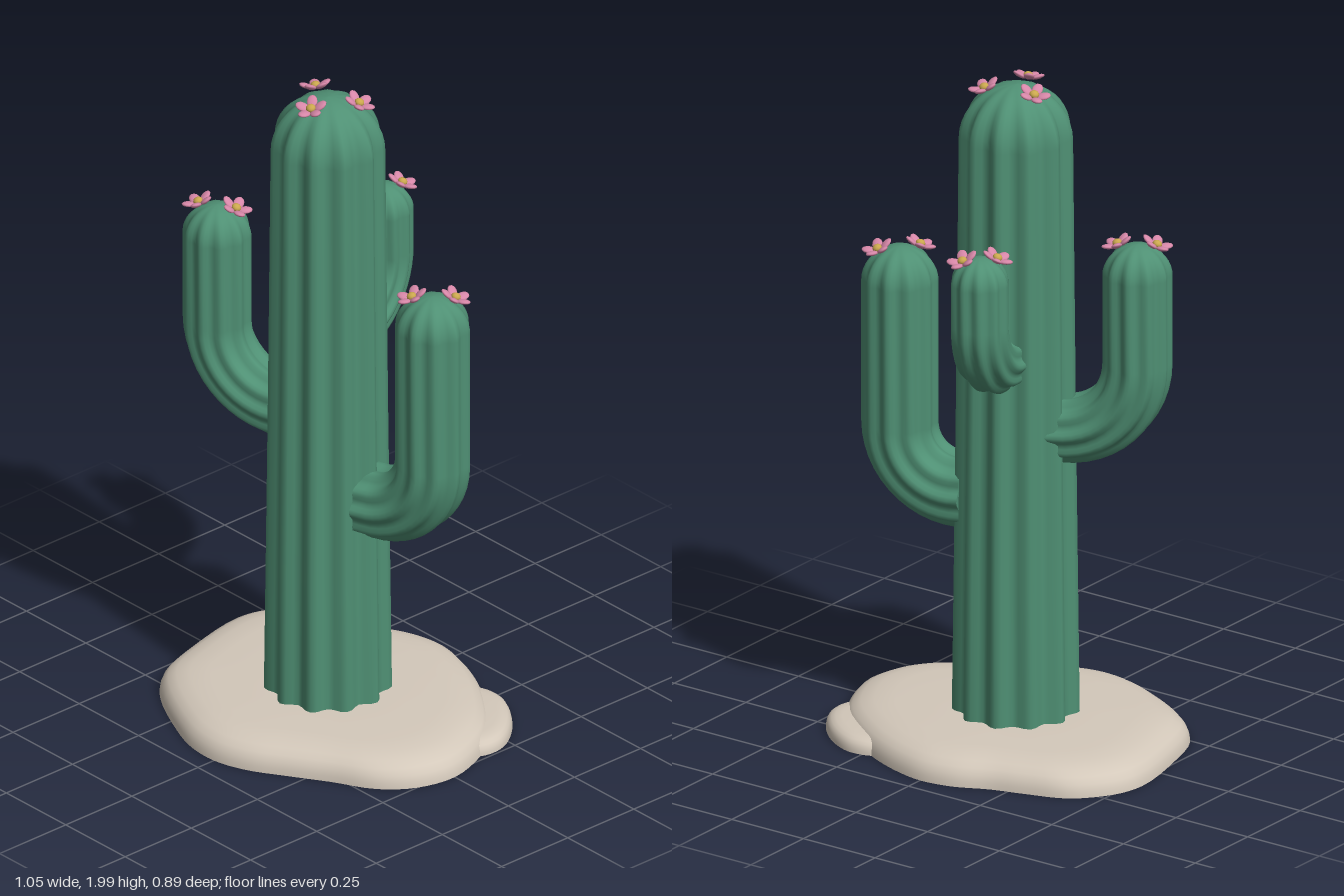
import * as THREE from 'three';

const material = (name, color, side = THREE.FrontSide) => {
  const m = new THREE.MeshStandardMaterial({ color, side });
  m.name = name;
  return m;
};

// Joins equal-sized closed rings of points into one smooth skin
function loft(rings) {
  const n = rings[0].length, pos = [], index = [];
  rings.forEach(ring => ring.forEach(p => pos.push(p.x, p.y, p.z)));
  for (let i = 0; i < rings.length - 1; i++) {
    for (let j = 0; j < n; j++) {
      const a = i * n + j, b = i * n + (j + 1) % n;
      index.push(a, b, a + n, b, b + n, a + n);
    }
  }
  const g = new THREE.BufferGeometry();
  g.setAttribute('position', new THREE.Float32BufferAttribute(pos, 3));
  g.setIndex(index);
  g.computeVertexNormals();
  return g;
}

const UP = new THREE.Vector3(0, 1, 0);

// Ribbed stem in the vertical plane through origin and dir.
// Stations: out, y, radius, lean (0 = heading outwards, PI/2 = heading up), rib depth
function ribbedStem(origin, dir, stations, ribs) {
  const side = new THREE.Vector3().crossVectors(dir, UP);
  const count = ribs * 6;
  return loft(stations.map(s => {
    const t = dir.clone().multiplyScalar(Math.cos(s.lean)).addScaledVector(UP, Math.sin(s.lean));
    const n = new THREE.Vector3().crossVectors(t, side);
    const c = origin.clone().addScaledVector(dir, s.out).addScaledVector(UP, s.y);
    return Array.from({ length: count }, (_, j) => {
      const a = j / count * Math.PI * 2;
      const r = s.r * (1 - s.depth * (0.5 - 0.5 * Math.cos(a * ribs)));
      return c.clone().addScaledVector(side, r * Math.cos(a)).addScaledVector(n, r * Math.sin(a));
    });
  }));
}

// Rounded end, with ribs fading out towards the tip
function addDome(stations, out, y, r, h, depth) {
  for (let i = 1; i <= 10; i++) {
    const a = i / 10 * Math.PI / 2;
    stations.push({ out, y: y + h * Math.sin(a), r: r * Math.cos(a), lean: Math.PI / 2, depth: depth * Math.cos(a) });
  }
}

// Flat-bottomed mound over a closed outline of [x, z] points
function mound(outline, height, cx = 0, cz = 0) {
  const curve = new THREE.CatmullRomCurve3(outline.map(([x, z]) => new THREE.Vector3(x, 0, z)), true);
  const pts = curve.getPoints(96).slice(0, 96);
  const profile = [[0, 0], [1, 0], [1, 0], [0.995, 0.2], [0.98, 0.42], [0.95, 0.62],
    [0.9, 0.78], [0.82, 0.9], [0.7, 0.96], [0.4, 1], [0, 1]];
  return loft(profile.map(([s, h]) => pts.map(p =>
    new THREE.Vector3(cx + (p.x - cx) * s, h * height, cz + (p.z - cz) * s))));
}

export function createModel() {
  const root = new THREE.Group();
  const green = material('cactus green', 0x4f9074);
  const sand = material('pale sand', 0xd3c8ba, THREE.DoubleSide);
  const pink = material('petal pink', 0xd787a8);
  const yellow = material('flower yellow', 0xcba84e);

  const add = (parent, name, geometry, mat) => {
    const mesh = new THREE.Mesh(geometry, mat);
    mesh.name = name;
    parent.add(mesh);
    return mesh;
  };

  // Sand mound, outline running counter-clockwise seen from above
  add(root, 'sandMound', mound([
    [-0.53, -0.11], [-0.49, 0.1], [-0.44, 0.24], [-0.37, 0.31], [-0.2, 0.4], [-0.1, 0.435],
    [0, 0.44], [0.1, 0.41], [0.2, 0.35], [0.31, 0.28], [0.43, 0.21], [0.5, 0.12], [0.525, 0],
    [0.48, -0.14], [0.42, -0.23], [0.31, -0.32], [0.2, -0.385], [0.1, -0.425], [0, -0.445],
    [-0.1, -0.43], [-0.2, -0.385], [-0.3, -0.355], [-0.42, -0.31], [-0.505, -0.21],
  ], 0.085), sand);
  add(root, 'sandLump', mound([
    [0.1, -0.2], [0.25, -0.07], [0.42, -0.07], [0.485, -0.14], [0.485, -0.22], [0.4, -0.33],
    [0.29, -0.385], [0.2, -0.36],
  ], 0.045, 0.3, -0.22), sand);

  // Flower seated on a dome, facing along the dome's normal
  const petalShape = new THREE.SphereGeometry(1, 12, 8);
  const addFlower = (dome, x, z, turn) => {
    const ox = x - dome.x, oz = z - dome.z;
    const k = Math.sqrt(Math.max(0.1, 1 - (ox * ox + oz * oz) / (dome.r * dome.r)));
    const normal = new THREE.Vector3(ox / dome.r ** 2, k / dome.h, oz / dome.r ** 2).normalize();
    normal.lerp(UP, 0.35).normalize();
    const flower = new THREE.Group();
    flower.name = 'flower';
    flower.position.set(x, dome.y + dome.h * k + 0.006, z);
    flower.quaternion.setFromUnitVectors(UP, normal);
    for (let i = 0; i < 5; i++) {
      const pivot = new THREE.Group();
      pivot.name = 'petalPivot';
      pivot.rotation.y = turn + i * Math.PI * 2 / 5;
      const petal = add(pivot, 'petal', petalShape, pink);
      petal.scale.set(0.021, 0.007, 0.0155);
      petal.position.set(0.027, 0.01, 0);
      petal.rotation.z = 0.4;
      flower.add(pivot);
    }
    const heart = add(flower, 'flowerCentre', petalShape, yellow);
    heart.scale.set(0.014, 0.011, 0.014);
    heart.position.y = 0.011;
    root.add(flower);
  };

  // Trunk, tapering slightly upwards
  const origin = new THREE.Vector3(-0.01, 0, 0);
  const lean = Math.PI / 2, depth = 0.14;
  const trunk = [[0.01, 0], [0.01, 0.183], [0.01, 0.183], [0.5, 0.177], [1, 0.171], [1.5, 0.166], [1.81, 0.163]]
    .map(([y, r]) => ({ out: 0, y, r, lean, depth }));
  addDome(trunk, 0, 1.81, 0.163, 0.157, depth);
  add(root, 'trunk', ribbedStem(origin, new THREE.Vector3(1, 0, 0), trunk, 11), green);
  const trunkDome = { x: -0.01, z: 0, y: 1.81, r: 0.163, h: 0.157 };
  [[-0.088, -0.025], [0.06, -0.052], [0.005, 0.075]].forEach(([x, z], i) => addFlower(trunkDome, x, z, i * 0.5));

  // Arms: out from the trunk, round an elbow, then straight up
  const arms = [
    { name: 'leftArm', x: 0.328, z: -0.093, r: 0.109, start: 0.14, y: 0.72, bend: 0.18, top: 1.43,
      flowers: [[0.368, -0.14], [0.292, -0.05]] },
    { name: 'rightArm', x: -0.348, z: 0.115, r: 0.099, start: 0.11, y: 0.945, bend: 0.22, top: 1.525,
      flowers: [[-0.393, 0.142], [-0.3, 0.09]] },
    { name: 'backArm', x: -0.09, z: -0.284, r: 0.084, start: 0.12, y: 1.175, bend: 0.17, top: 1.55,
      flowers: [[-0.066, -0.328], [-0.13, -0.26]] },
  ];
  for (const arm of arms) {
    const dir = new THREE.Vector3(arm.x, 0, arm.z).sub(origin);
    const reach = dir.length();
    dir.normalize();
    const d = 0.13, base = { out: arm.start, y: arm.y, r: arm.r, lean: 0, depth: d };
    const stations = [{ ...base, r: 0 }, base, base];
    for (let i = 0; i <= 12; i++) {
      const a = i / 12 * Math.PI / 2;
      stations.push({ out: reach - arm.bend + arm.bend * Math.sin(a), y: arm.y + arm.bend * (1 - Math.cos(a)),
        r: arm.r, lean: a, depth: d });
    }
    const h = arm.r * 0.95, shoulder = arm.top - h;
    stations.push({ out: reach, y: shoulder, r: arm.r, lean, depth: d });
    addDome(stations, reach, shoulder, arm.r, h, d);
    add(root, arm.name, ribbedStem(origin, dir, stations, 10), green);
    arm.flowers.forEach(([x, z], i) =>
      addFlower({ x: arm.x, z: arm.z, y: shoulder, r: arm.r, h }, x, z, 0.3 + i * 0.6));
  }
  return root;
}
